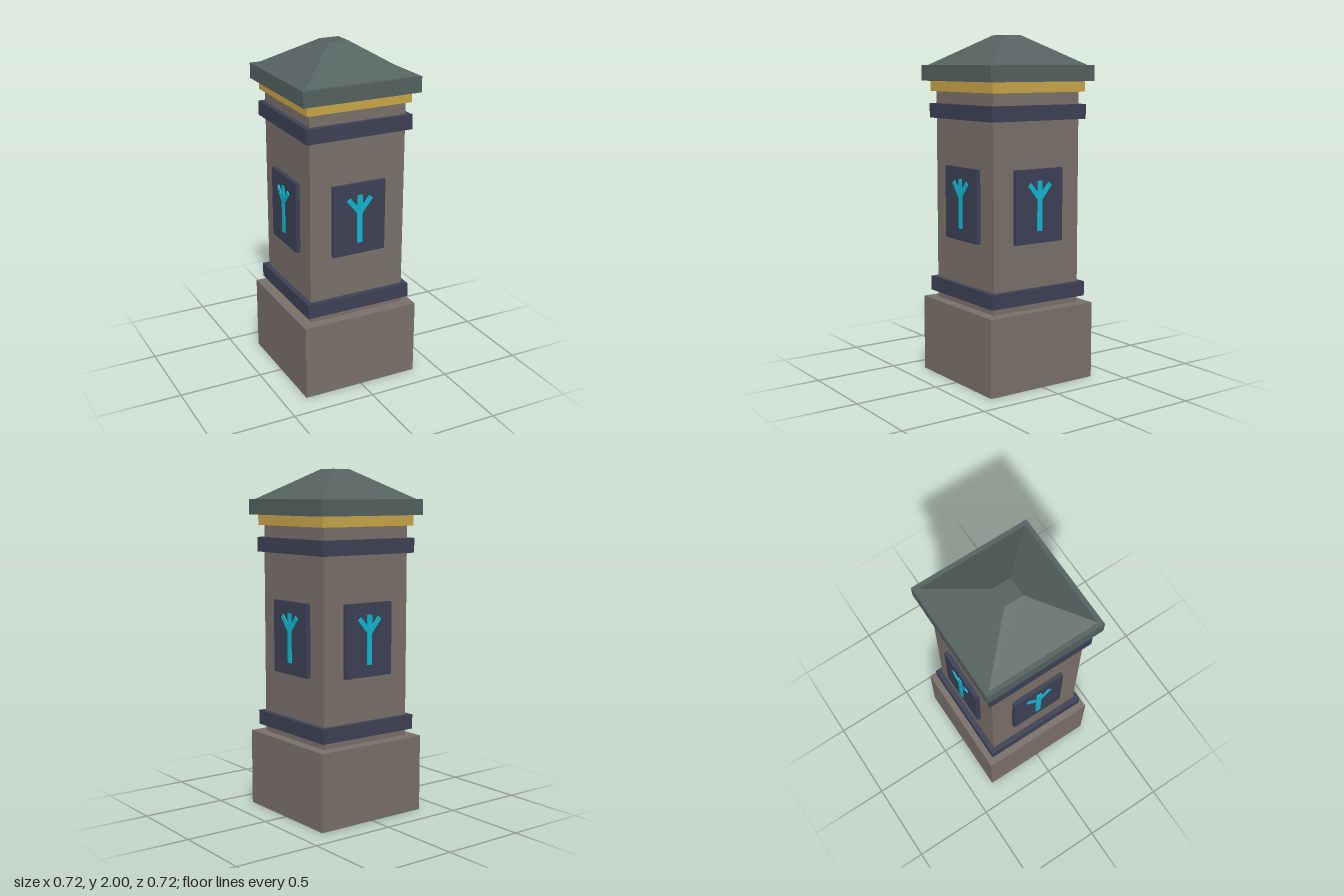
import * as THREE from 'three';

const mat = (name, color, extra = {}) => {
  const m = new THREE.MeshStandardMaterial({ color, ...extra });
  m.name = name;
  return m;
};

export function createModel() {
  const stone = mat('stone', 0x7a706a, { side: THREE.DoubleSide });
  const slate = mat('darkSlate', 0x3c4154);
  const roofing = mat('greenGreySlate', 0x546260);
  const gold = mat('gold', 0xc8a548);
  const glow = mat('cyanGlow', 0x10b6d2);

  const model = new THREE.Group();
  model.name = 'stonePillar';

  const add = (parent, name, geometry, material) => {
    const mesh = new THREE.Mesh(geometry, material);
    mesh.name = name;
    parent.add(mesh);
    return mesh;
  };
  // Square block given by half width and its bottom and top heights
  const block = (name, half, y0, y1, material) => {
    const mesh = add(model, name, new THREE.BoxGeometry(half * 2, y1 - y0, half * 2), material);
    mesh.position.y = (y0 + y1) / 2;
    return mesh;
  };

  // Hollow plinth: a box without its bottom face
  const base = block('base', 0.358, 0, 0.45, stone);
  const index = Array.from(base.geometry.index.array);
  index.splice(18, 6);
  base.geometry.setIndex(index);
  base.geometry.clearGroups();

  block('shaft', 0.295, 0.45, 1.68, stone);
  block('lowerBand', 0.325, 0.49, 0.575, slate);
  block('upperBand', 0.325, 1.525, 1.61, slate);
  block('goldTrim', 0.32, 1.68, 1.74, gold);
  block('capSlab', 0.358, 1.74, 1.83, roofing);

  // Truncated pyramid roof with a small flat top
  const roofGeo = new THREE.CylinderGeometry(0.058 * Math.SQRT2, 0.332 * Math.SQRT2, 0.17, 4)
    .rotateY(Math.PI / 4).toNonIndexed();
  roofGeo.computeVertexNormals();
  add(model, 'roof', roofGeo, roofing).position.y = 1.915;

  // A plaque with a forked sign on each of the four sides
  ['front', 'left', 'back', 'right'].forEach((side, i) => {
    const group = new THREE.Group();
    group.name = side + 'Plaque';
    group.rotation.y = i * Math.PI / 2;
    model.add(group);

    add(group, 'panel', new THREE.BoxGeometry(0.325, 0.42, 0.03), slate).position.set(0, 1.045, 0.305);
    add(group, 'signStem', new THREE.BoxGeometry(0.032, 0.285, 0.008), glow).position.set(0, 1.047, 0.323);
    for (const s of [-1, 1]) {
      const branch = add(group, 'signBranch', new THREE.BoxGeometry(0.028, 0.115, 0.007), glow);
      branch.position.set(s * 0.034, 1.126, 0.323);
      branch.rotation.z = -s * 0.7;
    }
  });

  return model;
}
